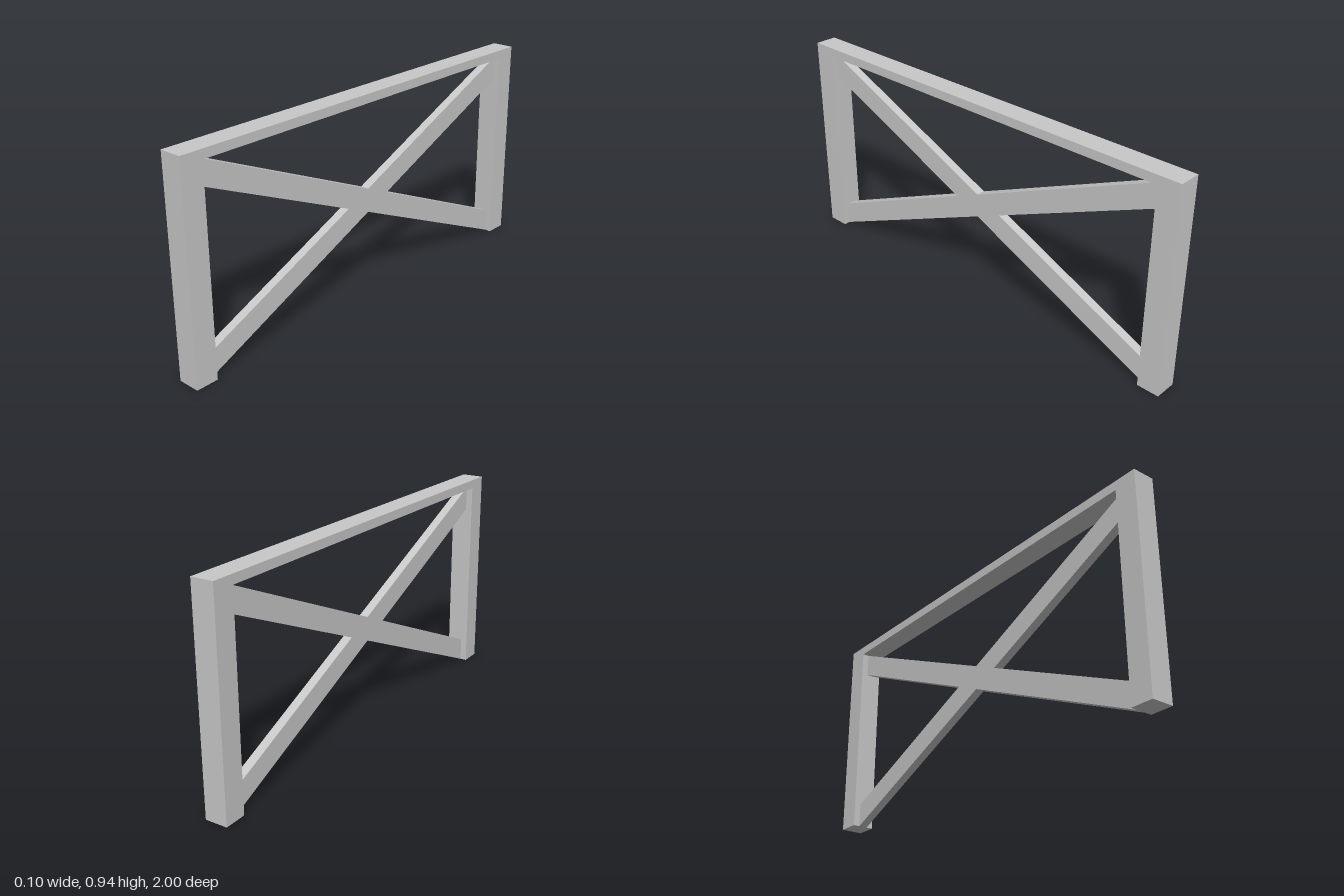
import * as THREE from 'three';

export function createModel() {
  const group = new THREE.Group();
  const grey = new THREE.MeshStandardMaterial({ color: 0xc8c8c8 });
  grey.name = 'lightGrey';

  const add = (name, geometry, x, y, z) => {
    const mesh = new THREE.Mesh(geometry, grey);
    mesh.name = name;
    mesh.position.set(x, y, z);
    group.add(mesh);
  };

  const width = 0.1, height = 0.94, beam = 0.04, inner = 0.9;

  // Upright posts at both ends
  for (const [name, side] of [['frontPost', 1], ['backPost', -1]]) {
    add(name, new THREE.BoxGeometry(width, height, 0.1), 0, height / 2, side * 0.95);
  }

  // Thin top rail between the posts
  add('topRail', new THREE.BoxGeometry(width, beam, inner * 2), 0, height - beam / 2, 0);

  // Crossed braces, one outline with ends cut flush against the posts
  const top = height - beam, cut = 0.108, mid = top / 2;
  const slope = (top - cut) / (inner * 2);
  const crotch = cut / (2 * slope);
  const outline = [
    [inner, 0], [inner, cut], [crotch, mid], [inner, top - cut], [inner, top],
    [0, mid + cut / 2],
    [-inner, top], [-inner, top - cut], [-crotch, mid], [-inner, cut], [-inner, 0],
    [0, mid - cut / 2],
  ].map(([a, b]) => new THREE.Vector2(a, b));
  const depth = 0.04;
  const cross = new THREE.ExtrudeGeometry(new THREE.Shape(outline), { depth, bevelEnabled: false });
  cross.translate(0, 0, -depth / 2).rotateY(Math.PI / 2);
  add('crossBrace', cross, 0, 0, 0);

  return group;
}
